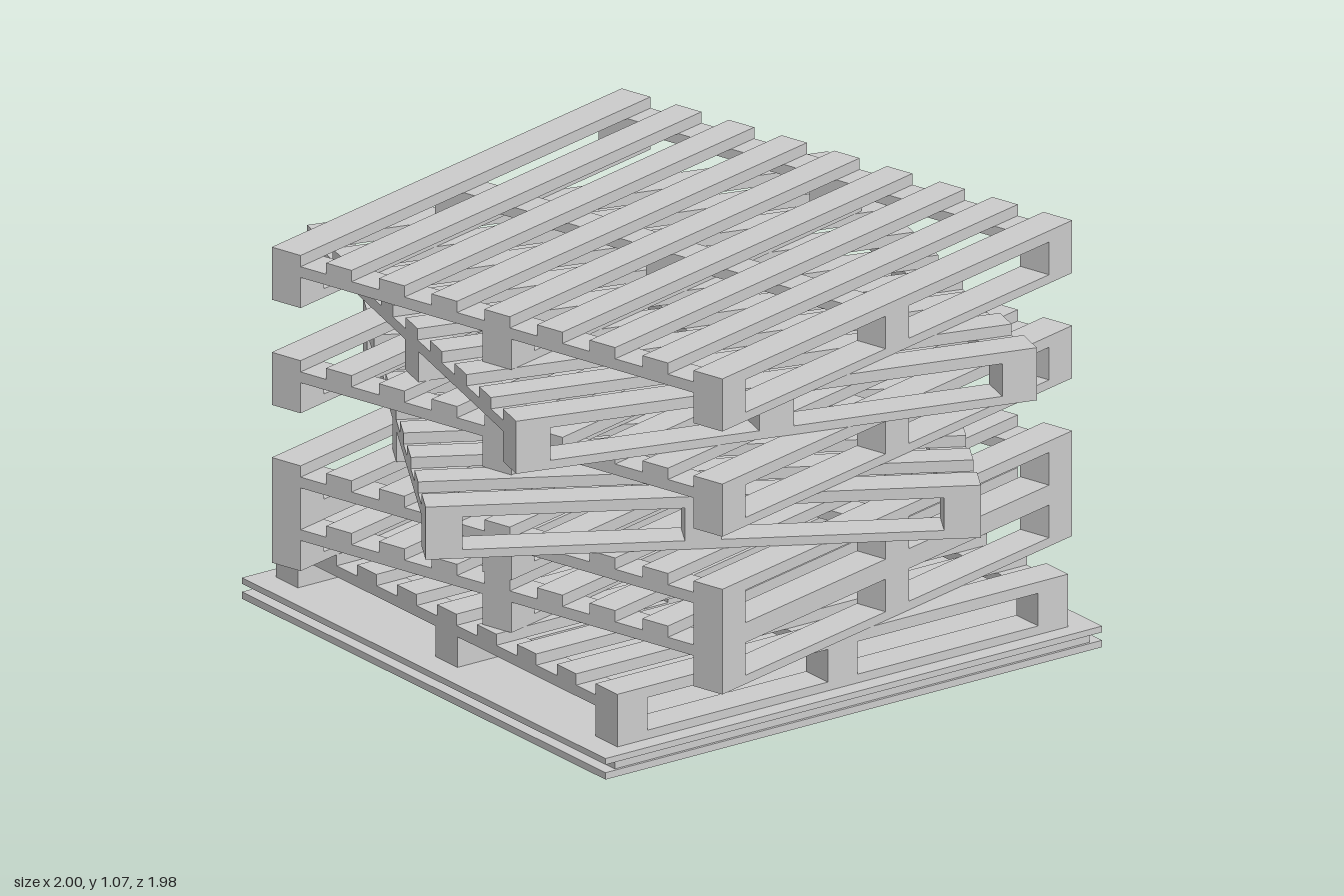
import * as THREE from 'three';

const material = new THREE.MeshStandardMaterial({ color: 0xcccccc, flatShading: true });

// Box whose position is given by its centre in x/z and its underside in y
function board(parent, name, w, h, d, x, y, z) {
  const mesh = new THREE.Mesh(new THREE.BoxGeometry(w, h, d), material);
  mesh.name = name;
  mesh.position.set(x, y + h / 2, z);
  parent.add(mesh);
}

const HALF_W = 0.742, HALF_D = 0.717; // pallet half width and half depth
const BEAM = 0.095;                   // width of blocks, stringers and edge boards
const BOTTOM = 0.024, BLOCK = 0.06, STRINGER = 0.03, SLAT = 0.031;
const PALLET_H = BOTTOM + BLOCK + STRINGER + SLAT;

function createPallet() {
  const pallet = new THREE.Group();
  const xs = [-1, 0, 1].map(s => s * (HALF_W - BEAM / 2));
  const zs = [-1, 0, 1].map(s => s * (HALF_D - BEAM / 2));

  // Bottom runners front to back, with three blocks on each
  for (const x of xs) {
    board(pallet, 'bottomRunner', BEAM, BOTTOM, 2 * HALF_D, x, 0, 0);
    for (const z of zs) board(pallet, 'block', BEAM, BLOCK, BEAM, x, BOTTOM, z);
  }
  // Stringers side to side over the blocks
  for (const z of zs) {
    board(pallet, 'stringer', 2 * HALF_W, STRINGER, BEAM, 0, BOTTOM + BLOCK, z);
  }
  // Nine deck slats, the outer two slightly wider
  const count = 9;
  for (let i = 0; i < count; i++) {
    const x = THREE.MathUtils.lerp(xs[0], xs[2], i / (count - 1));
    const w = i === 0 || i === count - 1 ? BEAM : 0.084;
    board(pallet, 'deckSlat', w, SLAT, 2 * HALF_D, x, BOTTOM + BLOCK + STRINGER, 0);
  }
  return pallet;
}

export function createModel() {
  const model = new THREE.Group();
  model.name = 'palletStack';

  // Base: two sheets with a slightly inset core
  const base = new THREE.Group();
  base.name = 'base';
  board(base, 'lowerSheet', 1.58, 0.019, 1.58, 0, 0, 0);
  board(base, 'core', 1.565, 0.022, 1.51, 0, 0.019, 0);
  board(base, 'upperSheet', 1.58, 0.017, 1.58, 0, 0.041, 0);
  model.add(base);

  // Pallets from the bottom up, each turned about the vertical (degrees)
  [0, 15, 15, -30, 15, -15, 15].forEach((angle, i) => {
    const pallet = createPallet();
    pallet.name = `pallet${i + 1}`;
    pallet.position.y = 0.058 + i * PALLET_H;
    pallet.rotation.y = THREE.MathUtils.degToRad(angle);
    model.add(pallet);
  });
  return model;
}
